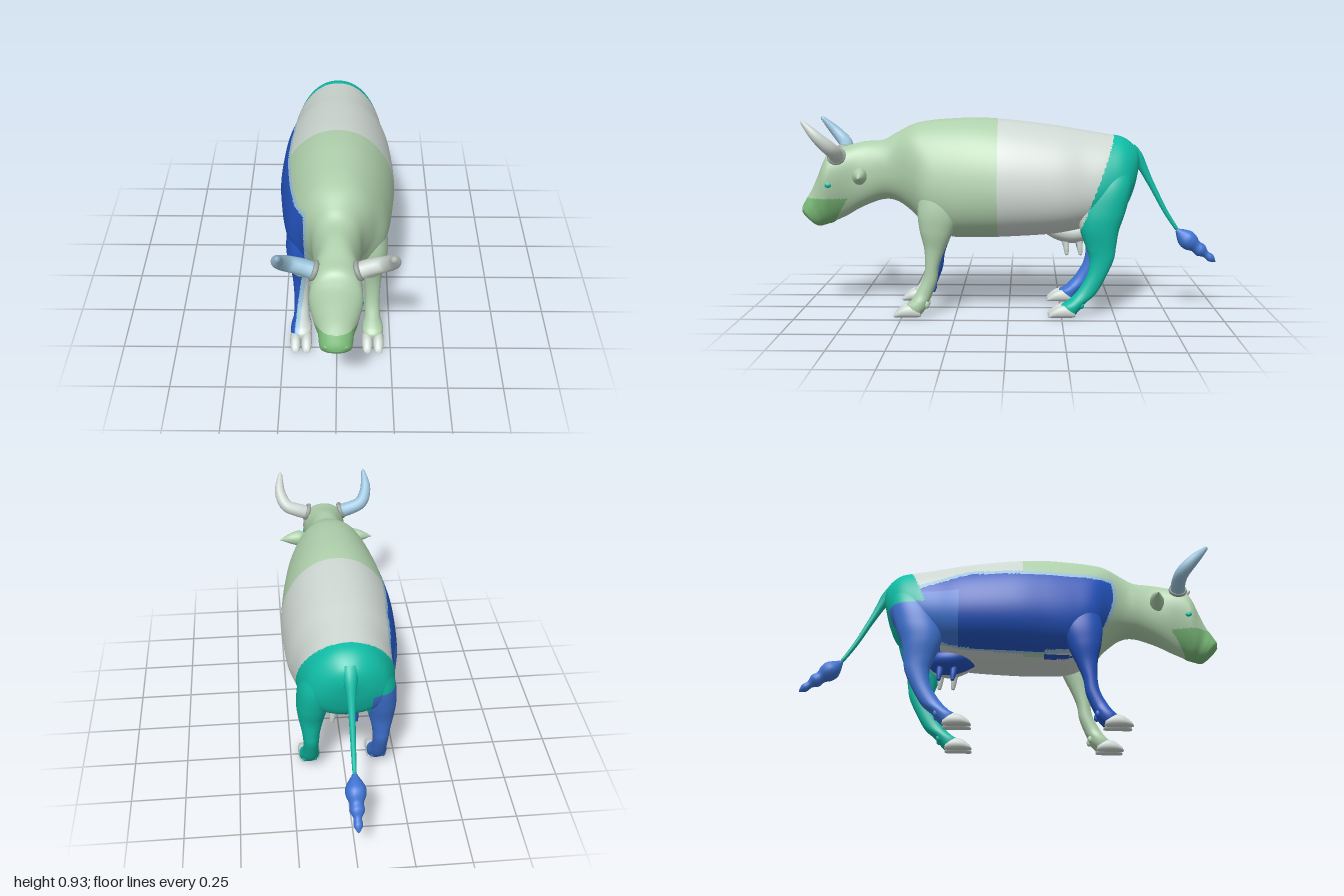
import * as THREE from 'three';
import { mergeVertices } from 'three/addons/utils/BufferGeometryUtils.js';

const palette = {
  paleGreen: 0xafd0ac, muzzleGreen: 0x79b977, lightGrey: 0xcdd6d1, teal: 0x10bda6,
  deepBlue: 0x2454bf, midBlue: 0x3f74d4, paleBlue: 0x9cc4dc, collarGrey: 0x9ba49e,
};
const names = Object.keys(palette);
const materials = names.map((name) => {
  const m = new THREE.MeshStandardMaterial({ color: palette[name] });
  m.name = name;
  return m;
});
const mat = (name) => materials[names.indexOf(name)];

// Coat colour at a point on the hide
function coat(x, y, z) {
  if (z < -0.495 + (0.84 - y) * 0.37) {
    const tealEdge = y > 0.61 ? -1 : y > 0.42 ? -0.1 : -0.03;
    return x < tealEdge ? 'midBlue' : 'teal';
  }
  if (z > 0.77 + (0.54 - y) * 0.6 && y < 0.545) return 'muzzleGreen';
  if (y < 0.47 && z > 0.15 && x < -0.1) {
    const legCentre = 0.345 + Math.max(0, 0.2 - y) * 0.55, line = -0.145 - (0.47 - y) * 0.13;
    if (x < line || (z < legCentre && y < 0.38)) return 'deepBlue';
    return x < line + 0.022 ? 'paleBlue' : 'lightGrey';
  }
  const edge = 0.755 + Math.min(0, z + 0.2) * 0.3;
  if (x < -0.145 && y < edge) return z < -0.25 && y < 0.66 ? 'midBlue' : 'deepBlue';
  if (x < -0.132 && y < edge + 0.022) return 'paleBlue';
  const belly = y < 0.42 && Math.abs(x) < 0.11 && z < 0.42;
  return z < 0.05 || belly ? 'lightGrey' : 'paleGreen';
}

// Smooth interpolation of a table of rows
function sample(rows, t) {
  const f = t * (rows.length - 1), i = Math.min(Math.floor(f), rows.length - 2), u = f - i;
  const at = (k) => rows[Math.max(0, Math.min(rows.length - 1, k))];
  return rows[i].map((p1, c) => {
    const p0 = at(i - 1)[c], p2 = at(i + 1)[c], p3 = at(i + 2)[c];
    return p1 + 0.5 * u * (p2 - p0 + u * (2 * p0 - 5 * p1 + 4 * p2 - p3 + u * (3 * (p1 - p2) + p3 - p0)));
  });
}

// Rows: [topZ, topY, bottomZ, bottomY, halfWidth, centreX, widening toward top]
function loft(name, rows, steps, sides, paint) {
  const pos = [], tris = names.map(() => []);
  for (let i = 0; i <= steps; i++) {
    const [tz, ty, bz, by, w, cx, k] = sample(rows, i / steps);
    for (let j = 0; j < sides; j++) {
      const a = (j / sides) * Math.PI * 2;
      const soft = (v) => Math.sign(v) * Math.pow(Math.abs(v), 0.92);
      const c = soft(Math.cos(a)), s = soft(Math.sin(a));
      pos.push(cx + w * c * (1 + k * s), (ty + by) / 2 + s * (ty - by) / 2, (tz + bz) / 2 + s * (tz - bz) / 2);
    }
  }
  for (const r of [rows[0], rows[rows.length - 1]]) pos.push(r[5], (r[1] + r[3]) / 2, (r[0] + r[2]) / 2);
  const add = (...t) => {
    const mid = [0, 1, 2].map((d) => (pos[t[0] * 3 + d] + pos[t[1] * 3 + d] + pos[t[2] * 3 + d]) / 3);
    tris[names.indexOf(paint(...mid))].push(...t);
  };
  const first = (steps + 1) * sides, end = steps * sides;
  for (let j = 0; j < sides; j++) {
    const n = (j + 1) % sides;
    for (let i = 0; i < steps; i++) {
      const o = i * sides;
      add(o + j, o + n, o + sides + j);
      add(o + n, o + sides + n, o + sides + j);
    }
    add(first, n, j);
    add(first + 1, end + j, end + n);
  }
  const g = new THREE.BufferGeometry();
  g.setAttribute('position', new THREE.Float32BufferAttribute(pos, 3));
  const index = [];
  tris.forEach((t, m) => {
    if (!t.length) return;
    g.addGroup(index.length, t.length, m);
    index.push(...t);
  });
  g.setIndex(index);
  g.computeVertexNormals();
  const mesh = new THREE.Mesh(g, materials);
  mesh.name = name;
  return mesh;
}

// Tube of varying radius, optionally flattened in z
function taper(name, points, radii, material, flat = 1) {
  const curve = new THREE.CatmullRomCurve3(points.map((p) => new THREE.Vector3(...p)));
  const steps = 28, sides = 14;
  let g = new THREE.TubeGeometry(curve, steps, 1, sides);
  const p = g.attributes.position, v = new THREE.Vector3();
  for (let i = 0; i <= steps; i++) {
    const c = curve.getPointAt(i / steps), r = sample(radii.map((q) => [q]), i / steps)[0];
    for (let j = 0; j <= sides; j++) {
      const n = i * (sides + 1) + j;
      v.fromBufferAttribute(p, n).sub(c).multiplyScalar(i === steps ? 0.001 : Math.max(r, 0.001));
      p.setXYZ(n, c.x + v.x, c.y + v.y, c.z + v.z * flat);
    }
  }
  g.deleteAttribute('uv');
  g.deleteAttribute('normal');
  g = mergeVertices(g, 1e-5);
  g.computeVertexNormals();
  const mesh = new THREE.Mesh(g, material);
  mesh.name = name;
  return mesh;
}

function ball(name, material, [x, y, z], [sx, sy, sz]) {
  const mesh = new THREE.Mesh(new THREE.SphereGeometry(1, 18, 12), material);
  mesh.position.set(x, y, z);
  mesh.scale.set(sx, sy, sz);
  mesh.name = name;
  return mesh;
}

export function createModel() {
  const cow = new THREE.Group();
  cow.name = 'cow';

  // Rump to muzzle in one skin
  const trunk = [
    [-0.622, 0.74, -0.615, 0.68, 0.03], [-0.60, 0.79, -0.59, 0.58, 0.105], [-0.54, 0.835, -0.55, 0.50, 0.17],
    [-0.46, 0.85, -0.46, 0.44, 0.205], [-0.35, 0.868, -0.35, 0.40, 0.225], [-0.22, 0.89, -0.22, 0.375, 0.25],
    [0, 0.917, 0, 0.36, 0.262], [0.15, 0.926, 0.15, 0.355, 0.252], [0.28, 0.921, 0.28, 0.36, 0.235],
    [0.38, 0.912, 0.39, 0.41, 0.21], [0.46, 0.893, 0.46, 0.475, 0.16], [0.54, 0.852, 0.53, 0.525, 0.115],
    [0.60, 0.82, 0.60, 0.535, 0.102], [0.69, 0.812, 0.70, 0.50, 0.093], [0.78, 0.79, 0.78, 0.455, 0.097],
    [0.845, 0.775, 0.83, 0.432, 0.103], [0.88, 0.73, 0.85, 0.42, 0.102], [0.915, 0.65, 0.87, 0.415, 0.088],
    [0.945, 0.585, 0.885, 0.41, 0.073], [0.975, 0.535, 0.905, 0.405, 0.068], [0.993, 0.502, 0.925, 0.407, 0.06],
    [0.998, 0.478, 0.95, 0.425, 0.03],
  ].map((r) => [...r, 0, r[0] > 0.9 ? 0.14 : r[0] > 0.7 ? 0.28 : r[0] > 0.45 ? 0 : -0.16]);
  cow.add(loft('body', trunk, 210, 150, coat));

  // Legs: front edge, back edge, half width, centre x
  const frontLeg = [
    [0.38, 0.72, 0.20, 0.72, 0.045, 0.15], [0.42, 0.53, 0.22, 0.51, 0.066, 0.163], [0.415, 0.42, 0.26, 0.40, 0.057, 0.168],
    [0.395, 0.33, 0.30, 0.31, 0.042, 0.165], [0.39, 0.25, 0.325, 0.24, 0.036, 0.165], [0.40, 0.18, 0.335, 0.17, 0.034, 0.165],
    [0.43, 0.12, 0.36, 0.10, 0.037, 0.166], [0.455, 0.08, 0.375, 0.068, 0.047, 0.167], [0.478, 0.055, 0.385, 0.04, 0.049, 0.168],
    [0.475, 0.02, 0.41, 0.012, 0.044, 0.168],
  ];
  const hindLeg = [
    [-0.42, 0.76, -0.565, 0.74, 0.04, 0.11], [-0.36, 0.62, -0.572, 0.62, 0.08, 0.128], [-0.33, 0.50, -0.545, 0.50, 0.075, 0.148],
    [-0.332, 0.42, -0.515, 0.41, 0.062, 0.157], [-0.362, 0.33, -0.502, 0.33, 0.044, 0.16], [-0.38, 0.27, -0.492, 0.27, 0.037, 0.16],
    [-0.37, 0.20, -0.457, 0.19, 0.034, 0.16], [-0.33, 0.13, -0.412, 0.11, 0.036, 0.161], [-0.285, 0.08, -0.365, 0.068, 0.045, 0.162],
    [-0.25, 0.055, -0.343, 0.04, 0.048, 0.163], [-0.25, 0.02, -0.318, 0.012, 0.044, 0.163],
  ];
  const claw = [
    [0.415, 0.03, 0.41, 0.004, 0.014], [0.445, 0.056, 0.43, 0, 0.024], [0.49, 0.053, 0.495, 0, 0.025],
    [0.525, 0.028, 0.532, 0, 0.018], [0.537, 0.012, 0.54, 0.002, 0.008],
  ];
  for (const side of [1, -1]) {
    const label = side > 0 ? 'left' : 'right';
    for (const [part, rows, shift, cx] of [['Front', frontLeg, 0, 0.168], ['Hind', hindLeg, -0.725, 0.163]]) {
      const leg = new THREE.Group();
      leg.name = label + part + 'Leg';
      leg.add(loft('limb', rows.map((r) => [...r.slice(0, 5), r[5] * side, 0]), 90, 56, coat));
      for (const toe of [-0.026, 0.026]) {
        const x = cx * side + toe;
        leg.add(loft('hoofClaw', claw.map((r) => [r[0] + shift, r[1], r[2] + shift, r[3], r[4], x, -0.1]), 16, 18, () => 'lightGrey'));
        const hide = part === 'Front' ? (side > 0 ? 'paleGreen' : 'deepBlue') : side > 0 ? 'teal' : 'midBlue';
        leg.add(ball('dewclaw', mat(hide), [x, 0.06, 0.382 + shift], [0.011, 0.018, 0.013]));
      }
      cow.add(leg);
    }

    // Horn with collar
    const horn = [[0.085, 0.745, 0.81], [0.135, 0.763, 0.805], [0.195, 0.788, 0.815], [0.226, 0.84, 0.865], [0.22, 0.92, 0.942]];
    cow.add(taper(label + 'Horn', horn.map(([x, y, z]) => [x * side, y, z]), [0.036, 0.034, 0.031, 0.023, 0.009],
      mat(side > 0 ? 'lightGrey' : 'paleBlue')));
    const collar = new THREE.Mesh(new THREE.TorusGeometry(0.034, 0.011, 10, 24), mat('collarGrey'));
    collar.position.set(0.09 * side, 0.75, 0.81);
    collar.quaternion.setFromUnitVectors(new THREE.Vector3(0, 0, 1), new THREE.Vector3(side * 0.93, 0.37, 0).normalize());
    collar.name = label + 'HornCollar';
    cow.add(collar);

    // Ear and eye
    const ear = [[0.07, 0.655, 0.72], [0.12, 0.657, 0.7], [0.18, 0.662, 0.687], [0.243, 0.657, 0.685]];
    cow.add(taper(label + 'Ear', ear.map(([x, y, z]) => [x * side, y, z]), [0.014, 0.026, 0.04, 0.033, 0.018, 0.001],
      mat('paleGreen'), 0.85));
    cow.add(ball(label + 'Eye', mat('teal'), [0.1 * side, 0.613, 0.852], [0.012, 0.014, 0.018]));
    cow.add(ball(label + 'Nostril', mat('muzzleGreen'), [0.036 * side, 0.49, 0.972], [0.02, 0.016, 0.018]));

    // Teats
    for (const z of [-0.27, -0.335]) {
      cow.add(taper(label + 'Teat', [[0.045 * side, 0.36, z], [0.052 * side, 0.32, z - 0.004], [0.058 * side, 0.272, z - 0.008]],
        [0.022, 0.016, 0.013, 0.008], mat(side > 0 ? 'lightGrey' : 'deepBlue')));
    }
  }

  // Udder, one colour on each half
  const udder = [
    [-0.40, 0.41, -0.40, 0.37, 0.03], [-0.36, 0.43, -0.36, 0.335, 0.085], [-0.29, 0.44, -0.29, 0.325, 0.10],
    [-0.22, 0.44, -0.22, 0.345, 0.085], [-0.16, 0.42, -0.16, 0.38, 0.03],
  ].map((r) => [...r, 0, 0]);
  cow.add(loft('udder', udder, 24, 32, (x) => (x < 0 ? 'deepBlue' : 'lightGrey')));

  // Tail with tuft
  cow.add(taper('tail', [[0, 0.77, -0.57], [0, 0.735, -0.61], [0, 0.61, -0.68], [0, 0.48, -0.75], [0, 0.38, -0.815]],
    [0.042, 0.024, 0.016, 0.013, 0.011, 0.009], mat('teal')));
  cow.add(taper('tailTuft', [[0, 0.388, -0.808], [0, 0.34, -0.86], [0, 0.285, -0.93], [0, 0.232, -0.998]],
    [0.01, 0.03, 0.045, 0.043, 0.03, 0.033, 0.018, 0.02, 0.005], mat('midBlue')));
  return cow;
}
